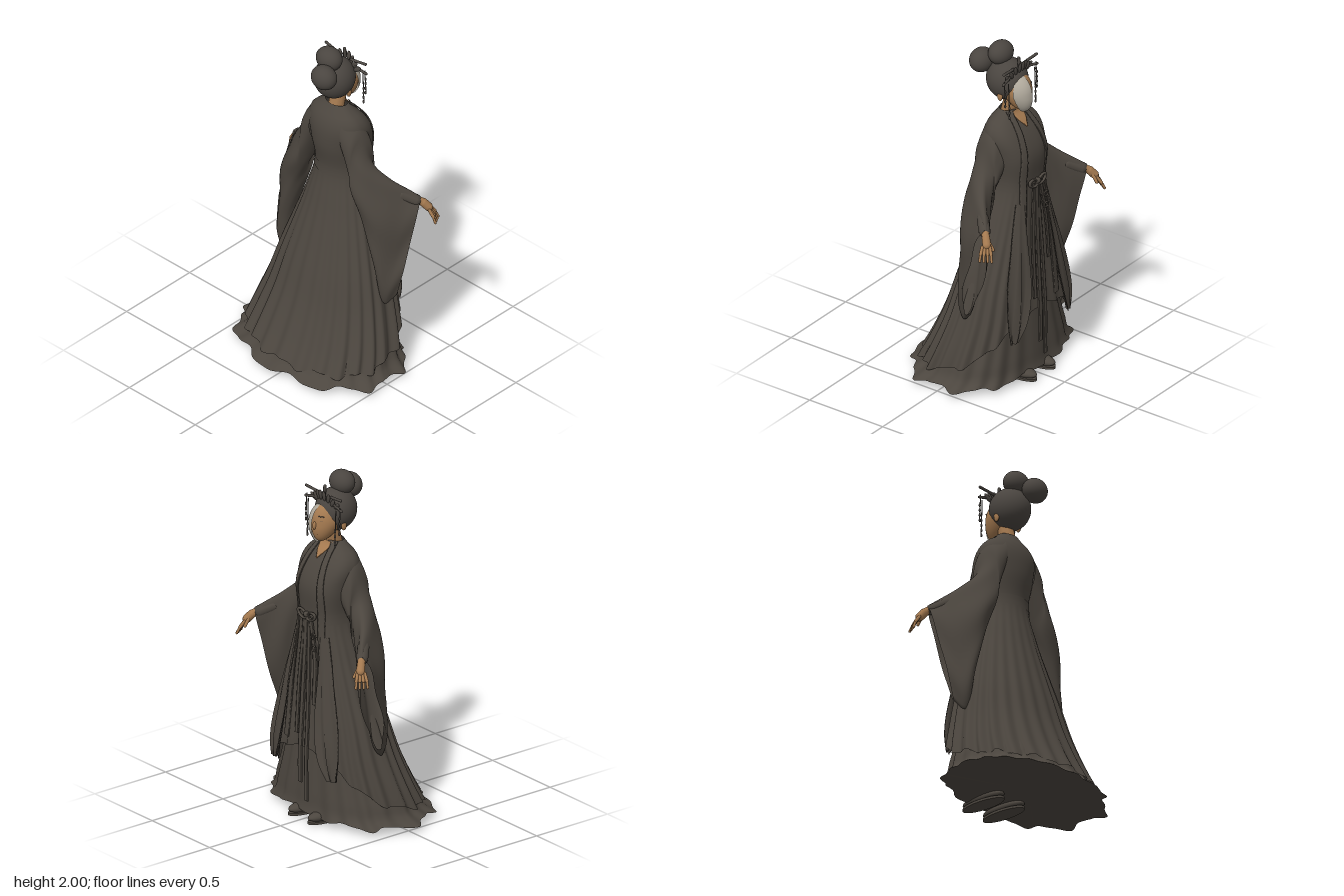
import * as THREE from 'three';

const cloth = new THREE.MeshStandardMaterial({ color: 0x4c463f, side: THREE.DoubleSide });
cloth.name = 'dark cloth';
const hairMat = new THREE.MeshStandardMaterial({ color: 0x4a4540 });
hairMat.name = 'dark hair';
const skin = new THREE.MeshStandardMaterial({ color: 0xa57a50 });
skin.name = 'skin';
const maskMat = new THREE.MeshStandardMaterial({ color: 0xb0a99c, side: THREE.DoubleSide });
maskMat.name = 'pale mask';

const V = (x, y, z) => new THREE.Vector3(x, y, z);

function add(parent, name, geometry, material, pos = [0, 0, 0], scale = [1, 1, 1], rot = [0, 0, 0]) {
  const m = new THREE.Mesh(geometry, material);
  m.name = name;
  m.position.set(...pos);
  m.scale.set(...scale);
  m.rotation.set(...rot);
  parent.add(m);
}

// Joins closed rings of points into a smooth skin
function loft(rings) {
  const n = rings[0].length, idx = [];
  for (let i = 0; i < rings.length - 1; i++)
    for (let j = 0; j < n; j++) {
      const a = i * n + j, b = i * n + (j + 1) % n;
      idx.push(a, a + n, b, b, a + n, b + n);
    }
  const g = new THREE.BufferGeometry().setFromPoints(rings.flat());
  g.setIndex(idx);
  g.computeVertexNormals();
  return g;
}

// Smooth profile: rows of height, back x, front x, half width
function profile(rows) {
  const f = new THREE.CubicInterpolant(rows.map(r => r[0]), rows.flatMap(r => r.slice(1)), 3);
  return y => {
    const [xb, xf, zr] = f.evaluate(y);
    return { cx: (xb + xf) / 2, hx: (xf - xb) / 2, zr };
  };
}
const bodyAt = profile([
  [0.08, -0.335, 0.335, 0.48], [0.2, -0.27, 0.335, 0.45], [0.4, -0.185, 0.335, 0.39],
  [0.6, -0.125, 0.325, 0.335], [0.8, -0.065, 0.315, 0.27], [1.0, -0.01, 0.305, 0.205],
  [1.2, 0.028, 0.3, 0.155], [1.38, 0.003, 0.305, 0.175], [1.5, 0.01, 0.255, 0.185],
  [1.56, 0.035, 0.21, 0.15], [1.6, 0.065, 0.175, 0.09], [1.63, 0.08, 0.165, 0.06]]);
const underAt = profile([
  [0.03, -0.39, 0.325, 0.535], [0.07, -0.33, 0.315, 0.475], [0.15, -0.285, 0.31, 0.44],
  [0.3, -0.215, 0.3, 0.38], [0.6, -0.1, 0.28, 0.3]]);

const FRONT = 0.75; // squareness of the front half
function ringPoint(p, a, y, swell) {
  const c = Math.cos(a), s = Math.sin(a), e = c > 0 ? FRONT : 1;
  return V(p.cx + p.hx * Math.sign(c) * Math.abs(c) ** e * swell, y,
    p.zr * Math.sign(s) * Math.abs(s) ** e * swell);
}
function frontX(y, z) {
  const p = bodyAt(y), k = Math.min(1, Math.abs(z) / p.zr);
  return p.cx + p.hx * (1 - k ** (2 / FRONT)) ** (FRONT / 2);
}

// Rings of a robe layer from hem to top, with pleats that deepen downwards
function robeRings(at, hem, top, steps, pleat, count) {
  const N = 224, rings = [];
  for (let i = 0; i <= steps; i++) {
    const ring = [];
    for (let j = 0; j < N; j++) {
      const a = j / N * Math.PI * 2;
      const y = THREE.MathUtils.lerp(hem(a), top, i / steps);
      const depth = pleat * Math.max(0, 1 - y / 1.2) ** 0.7;
      const wave = Math.cos(count * a + 0.6 * Math.sin(3 * a)) + 0.25 * Math.sin(11 * a);
      ring.push(ringPoint(at(y), a, y, 1 + depth * wave));
    }
    rings.push(ring);
  }
  return rings;
}

// Thin strip lying on the front of the robe; path rows are height, z, width
function ribbon(rows, lift = 0.012, flare = 0) {
  const curve = new THREE.CatmullRomCurve3(rows.map(r => V(...r)));
  const rings = [];
  for (let i = 0; i <= 30; i++) {
    const t = i / 30, p = curve.getPoint(t);
    const out = [], back = [];
    for (let j = 0; j <= 6; j++) {
      const z = p.y + (j / 6 - 0.5) * p.z;
      const x = frontX(p.x, z) + lift + flare * Math.sin(t * 2.2) * (1 + 0.5 * Math.sin(j * 2 + t * 3));
      out.push(V(x, p.x, z));
      back.unshift(V(x - 0.008, p.x, z));
    }
    rings.unshift([...out, ...back]);
  }
  return loft(rings);
}

// Hanging sleeve: a flattened loop swept between a top and a bottom edge
function sleeve() {
  const top = new THREE.CatmullRomCurve3([V(.12, 1.585, .1), V(.125, 1.5, .185), V(.13, 1.32, .25),
    V(.19, 1.215, .34), V(.26, 1.145, .415), V(.305, 1.1, .465)]);
  const low = new THREE.CatmullRomCurve3([V(.13, 1.3, .12), V(.1, 1.15, .18), V(.075, .95, .25),
    V(.07, .7, .33), V(.1, .44, .385), V(.15, .5, .43)]);
  const rings = [];
  for (let i = 0; i <= 30; i++) {
    const t = i / 30, T = top.getPoint(t), B = low.getPoint(t);
    const d = top.getTangent(t), side = V(d.z, 0, -d.x).normalize();
    const w = THREE.MathUtils.lerp(0.1, 0.05, t), ring = [];
    for (let j = 0; j < 40; j++) {
      const a = j / 40 * Math.PI * 2, s = (1 + Math.sin(a)) / 2;
      const fold = 1 + 0.18 * t * Math.sin(5 * a + 9 * t);
      ring.push(B.clone().lerp(T, s).addScaledVector(side, Math.cos(a) * w * fold));
    }
    rings.push(ring);
  }
  return loft(rings);
}

function limb(a, b, r) {
  const g = new THREE.CapsuleGeometry(r, a.distanceTo(b), 4, 10);
  g.applyQuaternion(new THREE.Quaternion().setFromUnitVectors(V(0, 1, 0), b.clone().sub(a).normalize()));
  return g.translate((a.x + b.x) / 2, (a.y + b.y) / 2, (a.z + b.z) / 2);
}

// Oval shell whose lower half narrows to a chin
function faceShell(rx, ry, rz, phi0, phiLen) {
  const g = new THREE.SphereGeometry(1, 32, 24, phi0, phiLen), p = g.attributes.position;
  for (let i = 0; i < p.count; i++) {
    const y = p.getY(i), k = y < 0 ? 1 + 0.25 * y : 1;
    p.setXYZ(i, p.getX(i) * rx * k - Math.min(0, y) * 0.045, y * ry, p.getZ(i) * rz * k);
  }
  g.computeVertexNormals();
  return g;
}

function arm() {
  const g = new THREE.Group();
  g.name = 'arm';
  add(g, 'sleeve', sleeve(), cloth);
  add(g, 'forearm', limb(V(.19, 1.16, .35), V(.31, 1.065, .47), 0.022), skin);
  add(g, 'cuff', limb(V(.23, 1.115, .39), V(.283, 1.078, .445), 0.034), cloth);
  add(g, 'palm', limb(V(.315, 1.06, .475), V(.335, 1.03, .495), 0.024), skin);
  for (let i = 0; i < 4; i++) {
    const k = i - 1.5;
    const base = V(.337 + k * .011, 1.022, .503 - k * .008);
    const mid = base.clone().add(V(.013 + k * .005, -.035, .02 - k * .003));
    const tip = mid.clone().add(V(.008 + k * .003, -.036, .012));
    add(g, 'finger', limb(base, mid, 0.0095), skin);
    add(g, 'fingertip', limb(mid, tip, 0.0075), skin);
  }
  add(g, 'thumb', limb(V(.33, 1.05, .475), V(.365, 1.0, .475), 0.009), skin);
  return g;
}

function head() {
  const g = new THREE.Group();
  g.name = 'head';
  const ball = new THREE.SphereGeometry(1, 32, 24);
  add(g, 'neck', limb(V(.115, 1.57, 0), V(.145, 1.69, 0), 0.046), skin);
  add(g, 'face', faceShell(.093, .115, .083, 0, Math.PI * 2), skin, [.168, 1.735, 0]);
  add(g, 'nose', ball, skin, [.26, 1.722, -.004], [.015, .024, .011]);
  add(g, 'lips', ball, skin, [.25, 1.674, -.006], [.009, .008, .02]);
  add(g, 'eye', ball, hairMat, [.243, 1.752, -.036], [.006, .004, .017], [0, .4, 0]);
  add(g, 'brow', ball, hairMat, [.241, 1.779, -.037], [.005, .003, .022], [0, .4, 0]);
  add(g, 'halfMask', faceShell(.111, .116, .09, Math.PI * .62, Math.PI * .38), maskMat, [.168, 1.73, 0]);
  add(g, 'hair', ball, hairMat, [.107, 1.785, 0], [.12, .122, .113]);
  add(g, 'rearBun', ball, hairMat, [-.03, 1.877, .05], [.066, .07, .078]);
  add(g, 'topBun', ball, hairMat, [.063, 1.932, 0], [.066, .068, .08]);
  // Ears, hair pins and hanging tassels on both sides
  for (const s of [1, -1]) {
    add(g, 'ear', ball, skin, [.125, 1.715, s * .092], [.017, .028, .01]);
    for (const [y, z0, z1, lift] of [[1.885, .05, .15, .012], [1.85, .08, .155, -.015]])
      add(g, 'hairPin', limb(V(.185, y, s * z0), V(.195, y + lift, s * z1), 0.008), hairMat);
    for (const [x, z, y0, y1] of [[.205, .12, 1.83, 1.62], [.195, .145, 1.85, 1.7]]) {
      add(g, 'tassel', limb(V(x, y0, s * z), V(x + .008, y1, s * z), 0.003), hairMat);
      for (let i = 0; i < 4; i++)
        add(g, 'tasselBead', ball, hairMat, [x + .006, y1 + i * .03, s * z], [.006, .011, .006]);
    }
    for (let i = 0; i < 4; i++)
      add(g, 'tiaraLeaf', ball, hairMat, [.203 - i * .007, 1.865 + .02 * Math.cos(i), s * (.015 + i * .028)],
        [.008, .03, .014], [s * i * .3, 0, -.1]);
  }
  add(g, 'tiaraSpike', limb(V(.19, 1.86, 0), V(.185, 1.935, 0), 0.009), hairMat);
  return g;
}

export function createModel() {
  const model = new THREE.Group();
  model.name = 'robedFigure';

  // Layered robe, closed underneath
  const under = robeRings(underAt, a => 0.04 + 0.01 * Math.sin(9 * a), 0.6, 24, 0.02, 20);
  const hemRing = under[0].map(p => p.clone());
  add(model, 'underskirt', loft(under), cloth);
  add(model, 'skirtBase', loft([hemRing.map(() => V(-.02, .05, 0)), hemRing]), cloth);
  add(model, 'robe', loft(robeRings(bodyAt,
    a => 0.09 + 0.33 * ((1 + Math.cos(a)) / 2) ** 3 + 0.012 * Math.cos(12 * a), 1.62, 56, 0.034, 24)), cloth);

  // Front bands, flaps, sash and bow
  for (const s of [1, -1]) {
    add(model, 'collarBand', ribbon([[1.615, s * .055, .03], [1.5, s * .08, .035], [1.35, s * .1, .035],
      [1.15, s * .1, .035], [.8, s * .13, .04], [.45, s * .15, .045]]), cloth);
    add(model, 'frontFlap', ribbon([[1.1, s * .12, .04], [.85, s * .16, .09], [.6, s * .2, .14],
      [.42, s * .23, .12], [.3, s * .25, .05]], .012, .03), cloth);
    add(model, 'bowLoop', new THREE.TorusGeometry(.03, .009, 8, 20), cloth,
      [.315, 1.205, s * .038], [1.2, .7, 1], [s * -.4, Math.PI / 2, 0]);
  }
  add(model, 'neckOpening', ribbon([[1.615, 0, .1], [1.57, 0, .066], [1.525, 0, .004]], .008), skin);
  add(model, 'sash', loft(robeRings(y => {
    const p = bodyAt(y);
    return { cx: p.cx, hx: p.hx + .004, zr: p.zr + .004 };
  }, () => 1.17, 1.23, 3, 0, 1)), cloth);
  add(model, 'bowKnot', new THREE.SphereGeometry(.018, 16, 12), cloth, [.315, 1.21, 0]);
  for (const [z, end, w, lift] of [[.015, .22, .03, .016], [-.03, .12, .025, .012], [-.075, .7, .025, .016], [.05, .5, .025, .014]])
    add(model, 'sashRibbon', ribbon([[1.2, z * .4, w], [(1.2 + end) / 2, z, w], [end, z * 1.1, w]], lift), cloth);
  for (const y of [1.1, 1.03])
    add(model, 'pendant', new THREE.TorusGeometry(.016, .005, 8, 16), cloth, [.322, y, -.07], [1, 1, 1], [0, Math.PI / 2, 0]);

  // Shoes
  for (const s of [1, -1]) {
    add(model, 'shoe', new THREE.SphereGeometry(1, 24, 16), cloth, [.225, .035, s * .085], [.145, .033, .05]);
    add(model, 'sole', new THREE.CylinderGeometry(1, 1, .014, 28), cloth, [.225, .009, s * .085], [.145, 1, .052]);
  }

  // Arms are mirrored across the body
  const rightArm = arm(), leftArm = arm();
  leftArm.scale.z = -1;
  model.add(rightArm, leftArm, head());
  return model;
}
